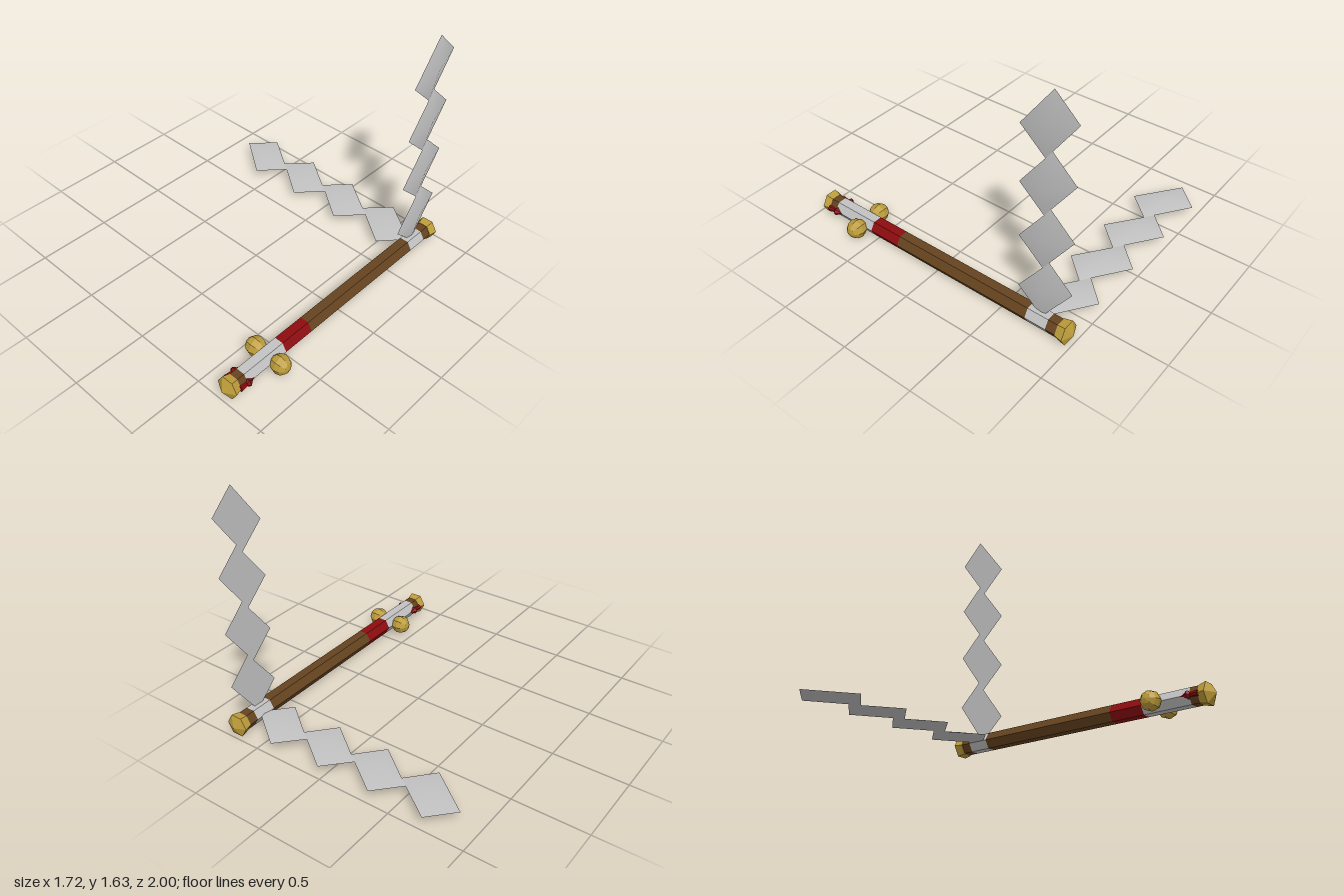
import * as THREE from 'three';

const AX = 0.695, AY = 0.071; // staff axis, running along z

const mat = (name, color) => Object.assign(new THREE.MeshStandardMaterial({ color }), { name });

function flat(geo) {
  const g = geo.toNonIndexed();
  g.computeVertexNormals();
  return g;
}

// Faceted turning along z from [radius, z] pairs, with corners on the +x and -x sides
function turned(points, sides = 6) {
  const g = new THREE.LatheGeometry(points.map(([r, z]) => new THREE.Vector2(r, z)), sides);
  g.rotateY(Math.PI / 6);
  g.rotateX(Math.PI / 2);
  return flat(g);
}

// Shallow four-sided pyramid with a soft top and a flat underside
function scaleGeometry(offset) {
  const rim = [[1.56, -0.82], [1.278, -0.61], [1.127, -0.776], [1.41, -0.978]];
  const rimPos = rim.flatMap(([d, z]) => [0, d - offset, z]);
  const centre = [0.034, 1.344 - offset, -0.796];
  const top = new THREE.BufferGeometry();
  top.setAttribute('position', new THREE.Float32BufferAttribute([...rimPos, ...centre], 3));
  top.setIndex([0, 1, 4, 1, 2, 4, 2, 3, 4, 3, 0, 4]);
  top.computeVertexNormals();
  const under = new THREE.BufferGeometry();
  under.setAttribute('position', new THREE.Float32BufferAttribute(rimPos, 3));
  under.setIndex([0, 2, 1, 0, 3, 2]);
  under.computeVertexNormals();
  return [top, under];
}

export function createModel() {
  const wood = mat('brown wood', 0x65431f);
  const red = mat('red', 0x8c0c0f);
  const silver = mat('silver grey', 0xc2c2c2);
  const gold = mat('gold', 0xbd9c3a);

  const model = new THREE.Group();
  model.name = 'bladedStaff';
  const staff = new THREE.Group();
  staff.name = 'staff';
  staff.position.set(AX, AY, 0);
  model.add(staff);

  const add = (parent, name, geo, material) => {
    const m = new THREE.Mesh(geo, material);
    m.name = name;
    parent.add(m);
    return m;
  };

  // Hexagonal shaft in coloured bands
  const R = 0.061;
  [
    ['backCollar', -0.94, -0.845, wood],
    ['backBand', -0.845, -0.70, silver],
    ['shaft', -0.70, 0.30, wood],
    ['redGrip', 0.30, 0.527, red],
    ['frontBand', 0.527, 0.85, silver],
    ['frontCollar', 0.85, 0.94, wood],
  ].forEach(([name, a, b, m]) => add(staff, name, turned([[R, a], [R, b]]), m));

  // Pointed end caps
  add(staff, 'frontCap', turned([[0, 0.905], [0.063, 0.905], [0.077, 0.955], [0, 1]]), gold);
  add(staff, 'backCap', turned([[0, -1], [0.077, -0.967], [0.065, -0.912], [0, -0.912]]), gold);

  // Side knobs and red darts, mirrored
  for (const s of [-1, 1]) {
    const ball = new THREE.SphereGeometry(0.065, 8, 6);
    ball.rotateZ(Math.PI / 2);
    add(staff, s > 0 ? 'leftKnob' : 'rightKnob', flat(ball), gold).position.set(s * 0.1, 0, 0.618);
    const dart = turned([[0, 0.785], [0.008, 0.815], [0.029, 0.845], [0.014, 0.86], [0.02, 0.91], [0, 0.91]]);
    add(staff, s > 0 ? 'leftDart' : 'rightDart', dart, red).position.x = s * 0.058;
  }

  // Two jagged blades, one upright and one turned sideways
  ['uprightBlade', 'sideBlade'].forEach((name, i) => {
    const blade = new THREE.Group();
    blade.name = name;
    blade.rotation.z = i * Math.PI / 2;
    for (let k = 0; k < 4; k++) {
      const [top, under] = scaleGeometry(k * 0.372);
      add(blade, 'bladeTop', top, silver);
      add(blade, 'bladeUnderside', under, silver);
    }
    staff.add(blade);
  });

  return model;
}
